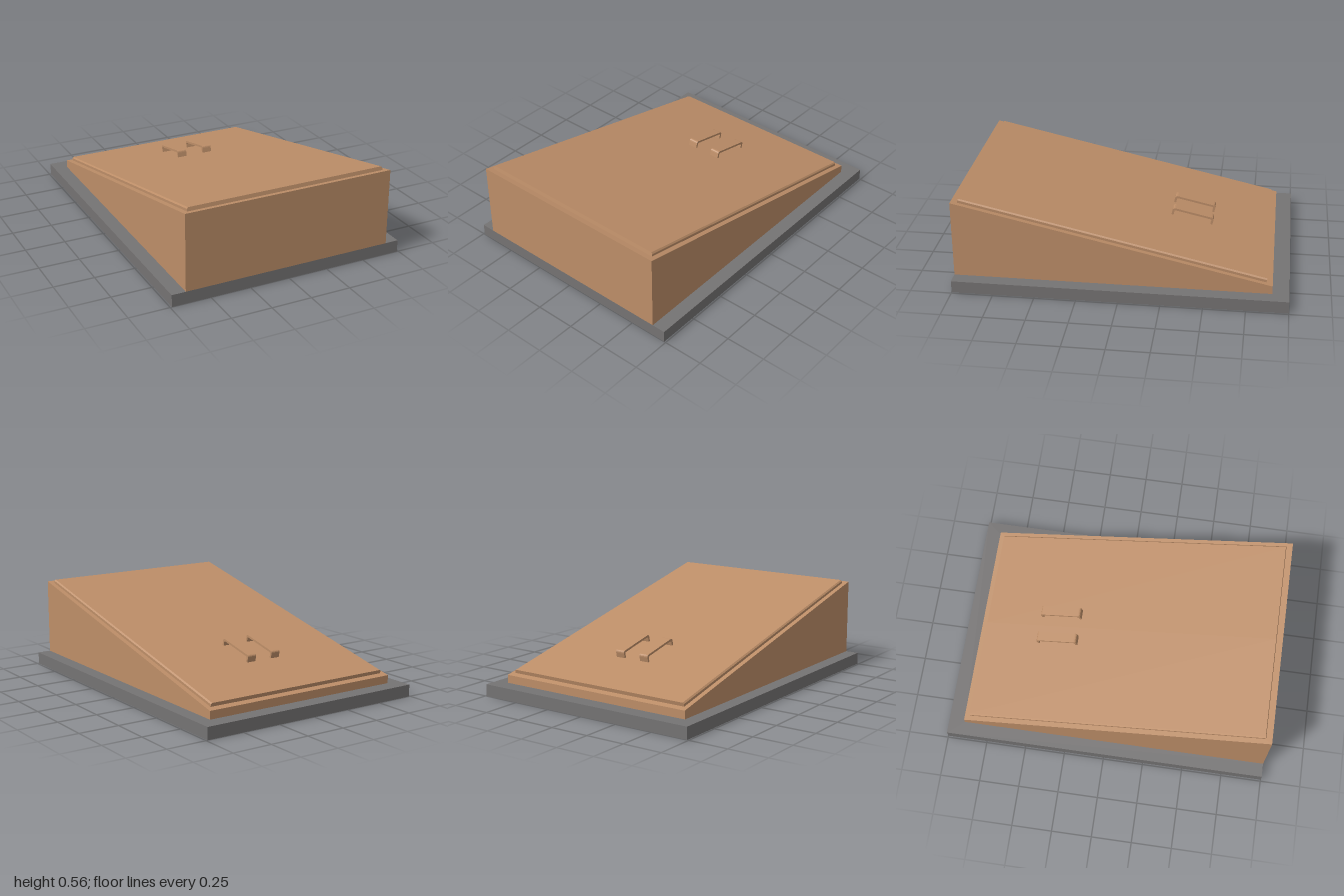
import * as THREE from 'three';

export function createModel() {
  const root = new THREE.Group();
  root.name = 'cellarHatch';
  const wood = new THREE.MeshStandardMaterial({ color: 0xbd8e68, side: THREE.DoubleSide });
  wood.name = 'wood';
  const concrete = new THREE.MeshStandardMaterial({ color: 0x757373, side: THREE.DoubleSide });
  concrete.name = 'concrete';

  const baseW = 0.74, baseH = 0.075, wallW = 0.655, front = 1, back = -0.9;
  const frontH = 0.55, backH = 0.125;
  const slope = (frontH - backH) / (front - back);
  const topAt = (z) => backH + slope * (z - back);

  const add = (parent, name, geometry, material) => {
    const mesh = new THREE.Mesh(geometry, material);
    mesh.name = name;
    parent.add(mesh);
    return mesh;
  };

  // Flat quads, each given as four corners anticlockwise from outside
  const sheet = (quads) => {
    const points = [];
    for (const [a, b, c, d] of quads) points.push(...a, ...b, ...c, ...a, ...c, ...d);
    const g = new THREE.BufferGeometry();
    g.setAttribute('position', new THREE.Float32BufferAttribute(points, 3));
    g.computeVertexNormals();
    return g;
  };

  // Four upright walls around a rectangle, from height lo(z) to hi(z)
  const walls = (w, z0, z1, lo, hi) => {
    const corners = [[-w, z1], [w, z1], [w, z0], [-w, z0]];
    return corners.map(([x, z], i) => {
      const [nx, nz] = corners[(i + 1) % 4];
      return [[x, lo, z], [nx, lo, nz], [nx, hi(nz), nz], [x, hi(z), z]];
    });
  };

  // Open-bottomed base: rim and the ledge around three sides
  add(root, 'baseRim', sheet(walls(baseW, -1, 1, 0, () => baseH)), concrete);
  const ledge = new THREE.Shape();
  [[-baseW, -1], [-wallW, -1], [-wallW, -back], [wallW, -back], [wallW, -1],
    [baseW, -1], [baseW, 1], [-baseW, 1]]
    .forEach(([x, y], i) => (i ? ledge.lineTo(x, y) : ledge.moveTo(x, y)));
  const ledgeMesh = add(root, 'baseLedge', new THREE.ShapeGeometry(ledge), concrete);
  ledgeMesh.rotation.x = -Math.PI / 2;
  ledgeMesh.position.y = baseH;

  // Concrete lining inside the hollow wedge
  const gap = 0.004;
  add(root, 'innerLining',
    sheet(walls(wallW - gap, back + gap, front - gap, 0, (z) => topAt(z) - gap)), concrete);

  // Wooden wedge: walls and sloping deck
  add(root, 'wedgeWalls', sheet(walls(wallW, back, front, baseH, topAt)), wood);
  add(root, 'slopingDeck', sheet([[
    [-wallW, frontH, front], [wallW, frontH, front], [wallW, backH, back], [-wallW, backH, back],
  ]]), wood);

  // Everything on the slope is laid out flat, then tilted
  const deck = new THREE.Group();
  deck.name = 'doors';
  deck.position.set(0, topAt(0.05), 0.05);
  deck.rotation.x = -Math.atan(slope);
  root.add(deck);

  const doorL = 1.87, doorW = 0.625, thick = 0.023, chamfer = 0.008;
  const handleW = 0.06, handleL = 0.262, handleH = 0.045, bar = 0.013, r = 0.016;

  // Door leaf section with a chamfered outer edge
  const doorSection = (s) => {
    const shape = new THREE.Shape();
    shape.moveTo(0, 0);
    shape.lineTo(s * doorW, 0);
    shape.lineTo(s * doorW, thick - chamfer);
    shape.lineTo(s * (doorW - chamfer), thick);
    shape.lineTo(0, thick);
    return shape;
  };

  // Bracket handle outline with rounded shoulders
  const h = handleL / 2, q = h - bar, inner = handleH - bar, ri = r * 0.5;
  const bracket = new THREE.Shape();
  bracket.moveTo(-h, -0.003);
  bracket.lineTo(-h, handleH - r);
  bracket.quadraticCurveTo(-h, handleH, -h + r, handleH);
  bracket.lineTo(h - r, handleH);
  bracket.quadraticCurveTo(h, handleH, h, handleH - r);
  bracket.lineTo(h, -0.003);
  bracket.lineTo(q, -0.003);
  bracket.lineTo(q, inner - ri);
  bracket.quadraticCurveTo(q, inner, q - ri, inner);
  bracket.lineTo(-q + ri, inner);
  bracket.quadraticCurveTo(-q, inner, -q, inner - ri);
  bracket.lineTo(-q, -0.003);

  for (const [side, s] of [['right', -1], ['left', 1]]) {
    const leaf = new THREE.ExtrudeGeometry(doorSection(s), { depth: doorL, bevelEnabled: false });
    leaf.translate(0, 0, -doorL / 2);
    add(deck, side + 'Door', leaf, wood);

    const handle = new THREE.ExtrudeGeometry(bracket,
      { depth: handleW, bevelEnabled: false, curveSegments: 4 });
    handle.translate(0, 0, -handleW / 2);
    handle.rotateY(Math.PI / 2);
    add(deck, side + 'Handle', handle, wood).position.set(s * 0.088, thick, -0.439);
  }
  return root;
}
